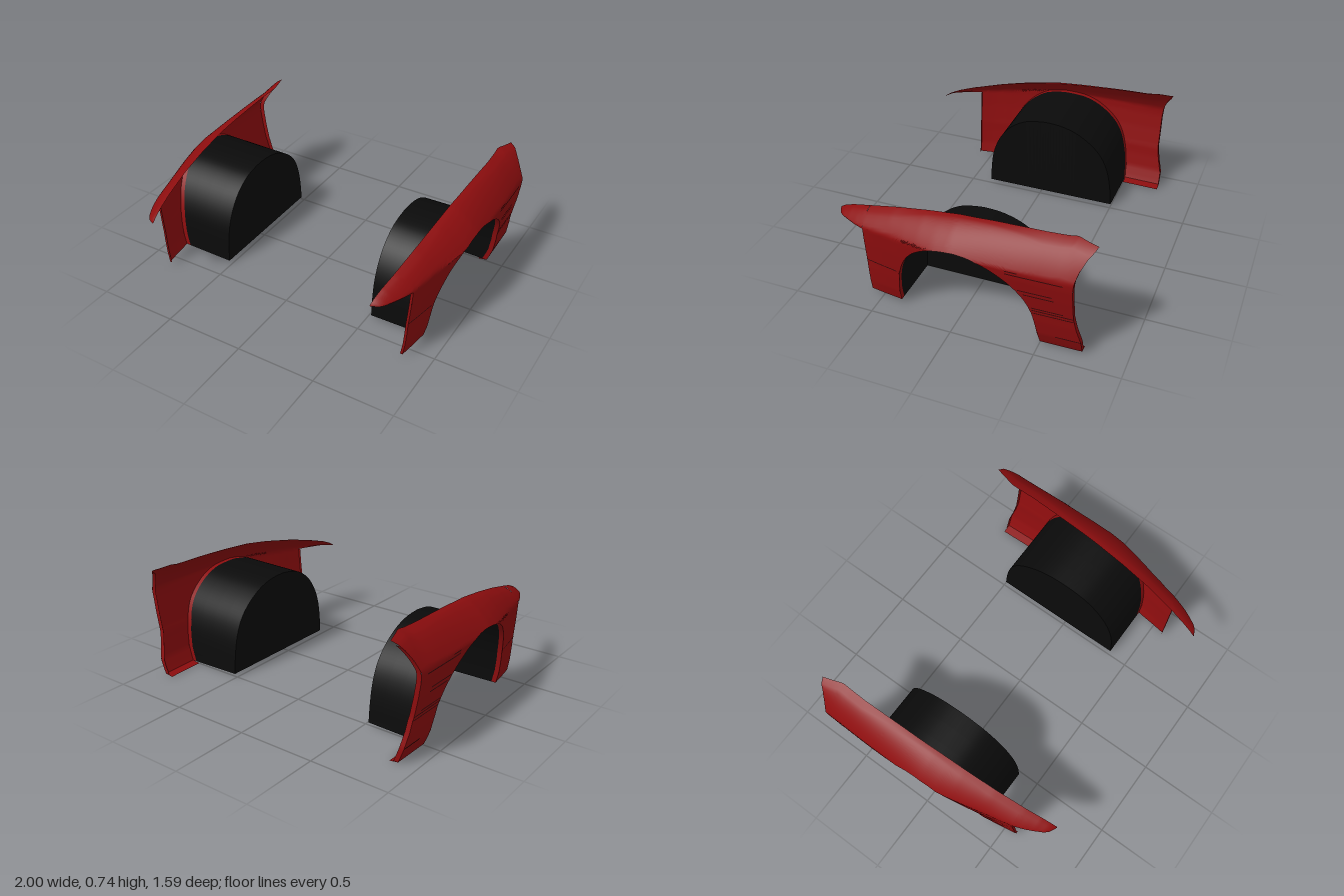
import * as THREE from 'three';
import { mergeGeometries, mergeVertices, toCreasedNormals } from 'three/addons/utils/BufferGeometryUtils.js';

const lerp = THREE.MathUtils.lerp;

// Linear lookup in a table of [key, value] pairs with rising keys
function look(table, k) {
  if (k <= table[0][0]) return table[0][1];
  for (let i = 1; i < table.length; i++) {
    const [a, va] = table[i - 1], [b, vb] = table[i];
    if (k <= b) return lerp(va, vb, (k - a) / (b - a));
  }
  return table[table.length - 1][1];
}

// Fender lines by z: widest x, height of the widest line, top edge height and x
const WIDTH = [[-0.8, 0.99], [-0.71, 0.993], [-0.4, 1], [0, 1], [0.1, 0.99], [0.2, 0.97], [0.3, 0.947],
  [0.4, 0.922], [0.5, 0.9], [0.58, 0.88], [0.64, 0.858], [0.7, 0.83], [0.75, 0.803], [0.78, 0.775], [0.797, 0.735]];
const CREST = [[-0.8, 0.55], [0, 0.55], [0.58, 0.5], [0.797, 0.49]];
const TOP = [[-0.8, 0.73], [-0.74, 0.735], [-0.68, 0.742], [-0.62, 0.732], [-0.4, 0.723], [-0.2, 0.713], [0, 0.698],
  [0.2, 0.668], [0.4, 0.628], [0.6, 0.575], [0.7, 0.545], [0.76, 0.52], [0.797, 0.497]];
const INNER = [[-0.8, 0.86], [-0.73, 0.84], [-0.67, 0.82], [-0.5, 0.825], [-0.1, 0.815], [0.2, 0.8],
  [0.4, 0.785], [0.6, 0.762], [0.797, 0.73]];
// Tuck of the side towards the sill, and the rear edge, by y
const TUCK = [[0, 0.11], [0.02, 0.1], [0.1, 0.07], [0.2, 0.052], [0.262, 0.045], [0.28, 0.04], [0.4, 0.017], [0.5, 0.003], [0.55, 0]];
const REAR = [[0.01, -0.745], [0.1, -0.745], [0.2, -0.72], [0.28, -0.706], [0.5, -0.705], [0.56, -0.71],
  [0.62, -0.728], [0.68, -0.758], [0.73, -0.797]];

// x of the outer skin at a given height and z
function skinX(y, z) {
  const w = look(WIDTH, z), c = look(CREST, z), top = look(TOP, z);
  if (y <= c) {
    const strength = lerp(1, 0.45, THREE.MathUtils.clamp(z / 0.58, 0, 1));
    return w - look(TUCK, y) * strength;
  }
  const t = Math.min(1, (y - c) / Math.max(0.004, top - c));
  return lerp(w, look(INNER, z), 0.5 * t + 0.5 * (1 - Math.sqrt(1 - t * t)));
}

// Surface from a rule f(u, v) -> [x, y, z]; side -1 mirrors it
function surface(f, nu, nv, side) {
  const pos = [], idx = [];
  for (let i = 0; i <= nu; i++) {
    for (let j = 0; j <= nv; j++) {
      const [x, y, z] = f(i / nu, j / nv);
      pos.push(x * side, y, z);
      if (i === nu || j === nv) continue;
      const a = i * (nv + 1) + j, b = a + nv + 1;
      if (side > 0) idx.push(a, b, b + 1, a, b + 1, a + 1);
      else idx.push(a, b + 1, b, a, a + 1, b + 1);
    }
  }
  const g = new THREE.BufferGeometry();
  g.setAttribute('position', new THREE.Float32BufferAttribute(pos, 3));
  g.setIndex(idx);
  return g;
}

const smooth = (list) => toCreasedNormals(mergeVertices(mergeGeometries(list), 1e-4), 0.7);

// Wheel opening as (z, y)
const arch = new THREE.SplineCurve([[0.37, 0.025], [0.364, 0.15], [0.345, 0.27], [0.3, 0.38], [0.23, 0.47],
  [0.13, 0.535], [0.02, 0.56], [-0.06, 0.563], [-0.15, 0.552], [-0.25, 0.517], [-0.35, 0.45], [-0.42, 0.37],
  [-0.463, 0.27], [-0.487, 0.15], [-0.5, 0.012]].map(([z, y]) => new THREE.Vector2(z, y)));

const onSkin = (z, y) => [skinX(y, z), y, z];

// Panel between two z positions with a level lower edge
const panel = (z0, z1, low) => (u, v) => {
  const z = lerp(z0, z1, u);
  return onSkin(z, lerp(low, look(TOP, z), v));
};

// Inward return along an edge curve (u -> [z, y])
const lip = (edge, depth) => (u, v) => {
  const [z, y] = edge(u);
  return [skinX(y, z) - depth * v, y, z];
};

const archEdge = (u) => { const p = arch.getPoint(u); return [p.x, p.y]; };

function buildSide(side) {
  const group = new THREE.Group();
  group.name = side > 0 ? 'leftFender' : 'rightFender';
  const red = new THREE.MeshStandardMaterial({ color: 0x8c0d0e, side: THREE.DoubleSide });
  const black = new THREE.MeshStandardMaterial({ color: 0x0a0a0a, side: THREE.DoubleSide });
  const dark = new THREE.MeshStandardMaterial({ color: 0x3a0506, side: THREE.DoubleSide });
  const add = (name, geometry, material) => {
    const mesh = new THREE.Mesh(geometry, material);
    mesh.name = name;
    group.add(mesh);
  };

  // Outer skin: nose, front panel, part over the wheel, rear panel
  const overWheel = (u, v) => {
    const [z, y] = archEdge(u);
    const zt = lerp(0.37, -0.5, u);
    return onSkin(lerp(z, zt, v), lerp(y, look(TOP, zt), v));
  };
  const rearPanel = (u, v) => {
    const y = lerp(0.012, look(TOP, lerp(-0.5, -0.797, u)), v);
    return onSkin(lerp(-0.5, look(REAR, y), u), y);
  };
  add('fenderSkin', smooth([
    surface(panel(0.797, 0.58, 0.492), 20, 14, side),
    surface(panel(0.58, 0.37, 0.025), 12, 40, side),
    surface(overWheel, 60, 40, side),
    surface(rearPanel, 18, 40, side),
  ]), red);

  // Folded edges around the opening, the door gap, the front and the sill
  const rearEdge = (u) => { const y = lerp(0.012, 0.7, u); return [look(REAR, y), y]; };
  const folds = [
    [archEdge, 0.03, 60],
    [rearEdge, 0.03, 30],
    [(u) => [0.58, lerp(0.025, 0.492, u)], 0.015, 20],
  ].map(([edge, depth, n]) => surface(lip(edge, depth), n, 1, side));
  folds.push(surface((u, v) => {
    const z = lerp(-0.5, -0.745, u);
    return [skinX(0.012, z) - 0.055 * v, 0.012 - 0.008 * v, z];
  }, 8, 2, side));
  add('foldedEdges', smooth(folds), red);

  // Thin grooves: body seam and the gills behind the wheel [y, z start, z end]
  const grooves = [[0.264, 0.58, 0.37], [0.287, -0.47, -0.705], [0.264, -0.475, -0.705],
    [0.527, -0.33, -0.65], [0.545, -0.33, -0.4], [0.425, -0.4, -0.59], [0.4, -0.43, -0.6],
    [0.305, -0.47, -0.65], [0.105, -0.6, -0.744]];
  add('grooves', smooth(grooves.map(([y, z0, z1]) => surface((u, v) => {
    const z = lerp(z0, z1, u), h = y + (v - 0.5) * 0.007;
    return [skinX(h, z) + 0.002, h, z];
  }, 12, 1, side))), dark);

  // Wheel liner: arched tunnel closed by an inner wall
  const tunnel = (u, v) => {
    const [z, y] = archEdge(u);
    return [lerp(skinX(y, z) - 0.03, 0.52, v), lerp(y, Math.max(0.02, y - 0.006), v), z];
  };
  const wall = (u, v) => {
    const [z, y] = archEdge(u);
    return [0.52, lerp(Math.max(0.02, y - 0.006), 0.02, v), z];
  };
  add('wheelLiner', smooth([surface(tunnel, 60, 4, side), surface(wall, 60, 1, side)]), black);
  return group;
}

export function createModel() {
  const model = new THREE.Group();
  model.name = 'frontFenders';
  for (const side of [1, -1]) model.add(buildSide(side));
  return model;
}
